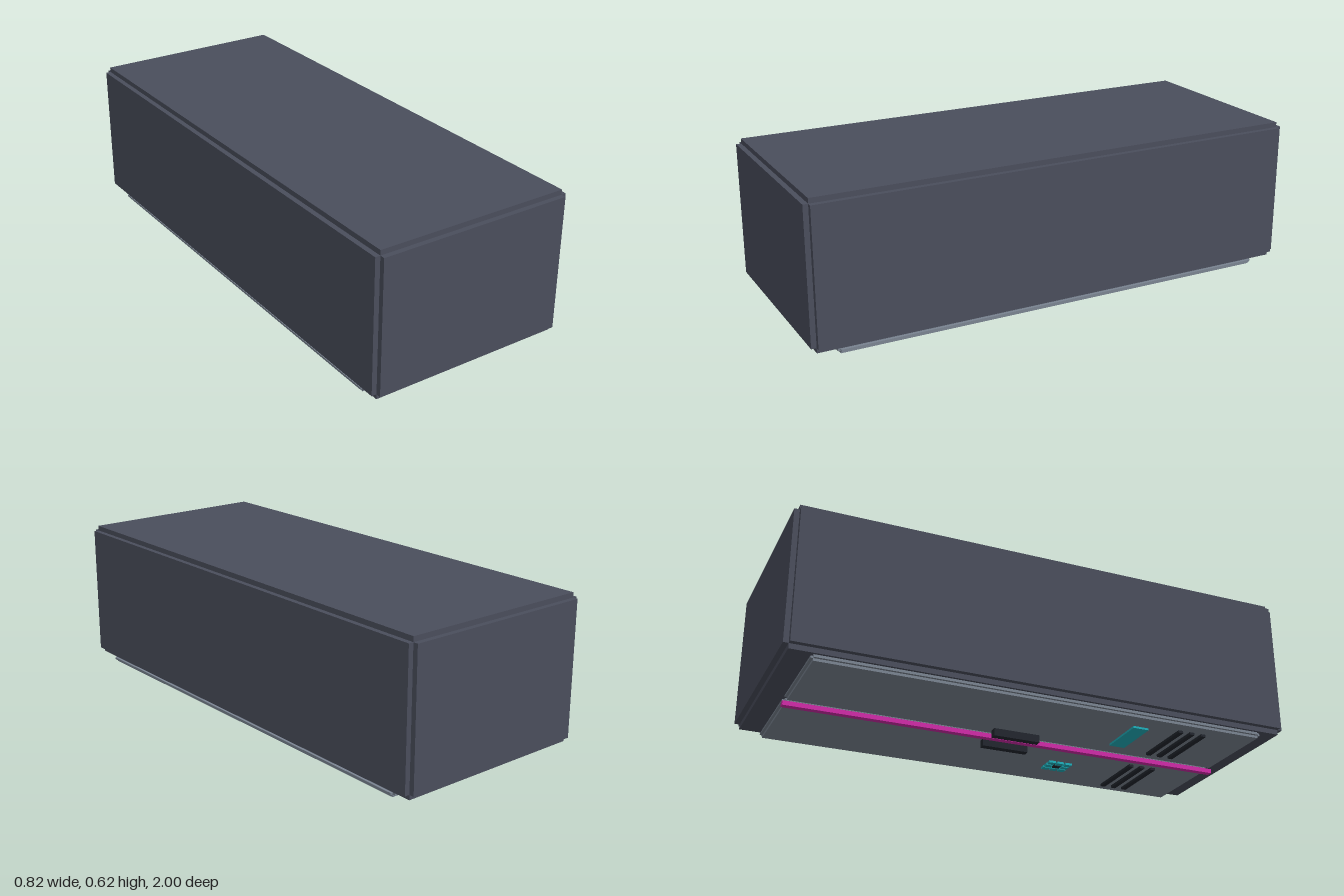
import * as THREE from 'three';

const mat = (name, color) => new THREE.MeshStandardMaterial({ name, color });

export function createModel() {
  const shell = mat('slate shell', 0x4a4e5c);
  const panel = mat('grey door', 0x7a8491);
  const dark = mat('dark trim', 0x22262e);
  const magenta = mat('magenta light', 0xd02ba8);
  const cyan = mat('cyan light', 0x1fb0bc);

  const model = new THREE.Group();
  model.name = 'cabinet';

  // Box given by its minimum and maximum on each axis
  function box(parent, name, material, [x0, x1], [y0, y1], [z0, z1]) {
    const mesh = new THREE.Mesh(new THREE.BoxGeometry(x1 - x0, y1 - y0, z1 - z0), material);
    mesh.position.set((x0 + x1) / 2, (y0 + y1) / 2, (z0 + z1) / 2);
    mesh.name = name;
    parent.add(mesh);
    return mesh;
  }

  function group(name) {
    const g = new THREE.Group();
    g.name = name;
    model.add(g);
    return g;
  }

  // Main body with a square notch along every edge
  const body = group('body');
  box(body, 'bodyCore', shell, [-0.39, 0.39], [0.055, 0.625], [-0.98, 0.98]);
  box(body, 'bodySides', shell, [-0.41, 0.41], [0.075, 0.605], [-0.98, 0.98]);
  box(body, 'bodyEnds', shell, [-0.39, 0.39], [0.075, 0.605], [-1, 1]);

  // Two doors on the underside, each with handle and vent slats
  for (const s of [1, -1]) {
    const door = group(s > 0 ? 'leftDoor' : 'rightDoor');
    const span = (a, b) => (s > 0 ? [a, b] : [-b, -a]);
    box(door, 'doorPanel', panel, span(0.02, 0.38), [0.03, 0.055], [-0.89, 0.89]);
    box(door, 'doorSideRim', panel, span(0.01, 0.39), [0.04, 0.048], [-0.89, 0.89]);
    box(door, 'doorEndRim', panel, span(0.02, 0.38), [0.04, 0.048], [-0.9, 0.9]);
    box(door, 'handle', dark, span(0.043, 0.071), [0, 0.03], [-0.095, 0.095]);
    for (const z of [0.575, 0.625, 0.675]) {
      box(door, 'ventSlat', dark, span(0.07, 0.33), [0.02, 0.03], [z - 0.01, z + 0.01]);
    }
  }

  // Light strip along the gap between the doors
  box(model, 'lightStrip', magenta, [-0.012, 0.012], [0.012, 0.03], [-0.905, 0.905]);

  // Keypad: a ring of lit keys around a dark centre
  const keypad = group('keypad');
  for (let i = -1; i <= 1; i++) {
    for (let j = -1; j <= 1; j++) {
      const x = 0.2 + i * 0.03, z = 0.295 + j * 0.036;
      const centre = i === 0 && j === 0;
      box(keypad, centre ? 'centreKey' : 'key', centre ? dark : cyan,
        [x - 0.012, x + 0.012], [0.021, 0.03], [z - 0.014, z + 0.014]);
    }
  }

  // Display plate on the other door
  box(model, 'display', cyan, [-0.3, -0.1], [0.022, 0.03], [0.385, 0.45]);

  return model;
}
